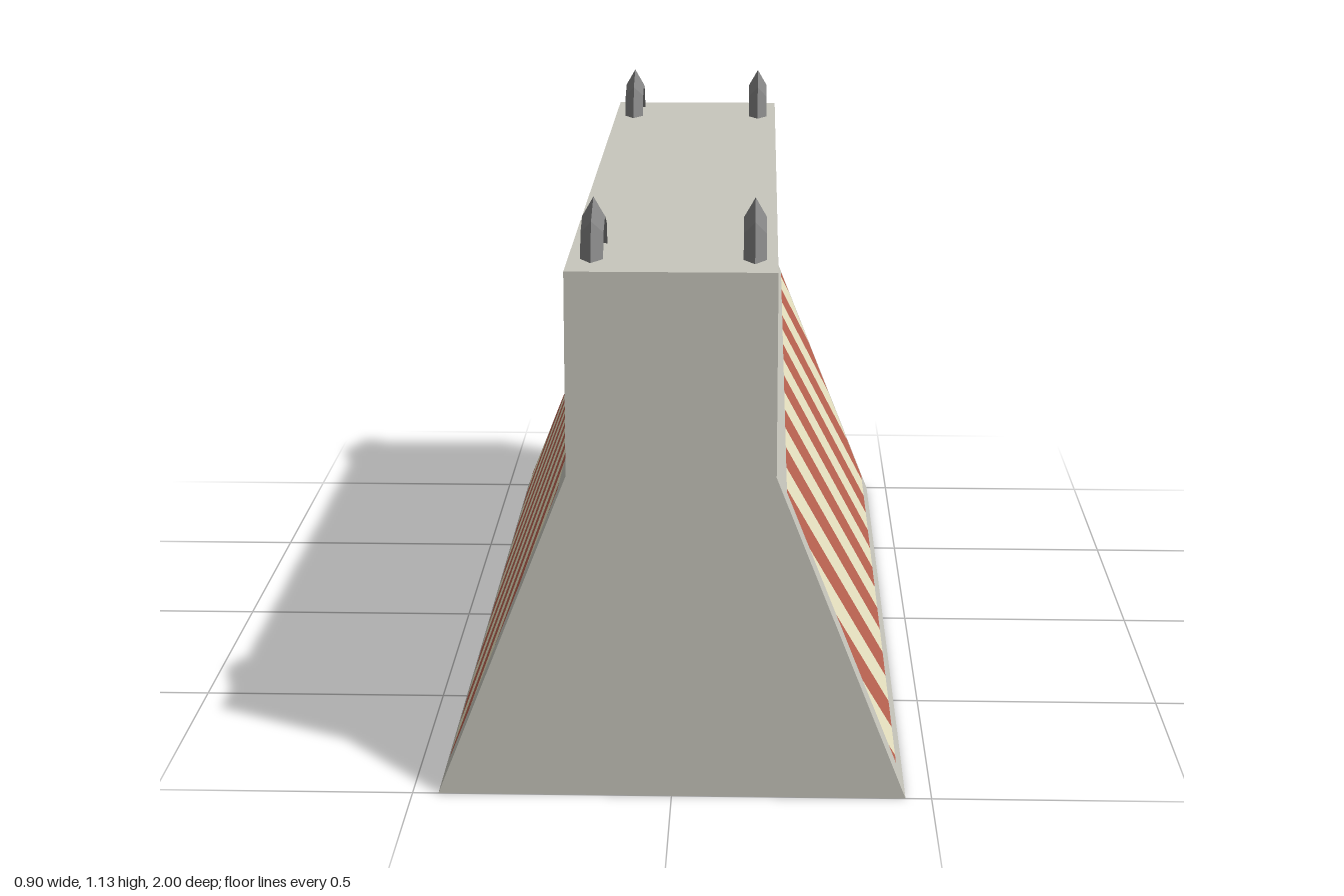
import * as THREE from 'three';
import { mergeGeometries } from 'three/addons/utils/BufferGeometryUtils.js';

const BASE = 0.45, NECK = 0.197, NECK_Y = 0.64, TOP_Y = 1.03;

function material(color) {
  return new THREE.MeshStandardMaterial({ color, flatShading: true });
}

// Concrete body: extruded cross-section with ends that lean in slightly
function bodyGeometry() {
  const profile = [[-BASE, 0], [BASE, 0], [NECK, NECK_Y], [NECK, TOP_Y], [-NECK, TOP_Y], [-NECK, NECK_Y]];
  const shape = new THREE.Shape(profile.map(([x, y]) => new THREE.Vector2(x, y)));
  const geo = new THREE.ExtrudeGeometry(shape, { depth: 2, bevelEnabled: false });
  geo.translate(0, 0, -1);
  const p = geo.attributes.position;
  for (let i = 0; i < p.count; i++) p.setZ(i, p.getZ(i) * (1 - 0.01 * p.getY(i) / TOP_Y));
  geo.computeVertexNormals();
  return geo;
}

// Keep the part of a polygon where sign * u <= limit
function clip(points, sign, limit) {
  const out = [];
  points.forEach((a, i) => {
    const b = points[(i + 1) % points.length];
    const da = limit - sign * a.x, db = limit - sign * b.x;
    if (da >= 0) out.push(a);
    if (da * db < 0) out.push(a.clone().lerp(b, da / (da - db)));
  });
  return out;
}

// Alternate diagonal bands laid on the sloping side (u runs along -z)
function bandGeometry(parity) {
  const low = 0.05, high = 0.597, lean = 0.574, width = 0.1395, end = 0.946;
  const bands = [];
  for (let i = -8; i <= 13; i++) {
    if (Math.abs(i % 2) !== parity) continue;
    const u = -0.783 + i * width;
    const corners = [[u + lean, low], [u + lean + width, low], [u + width, high], [u, high]];
    let points = corners.map(([x, y]) => new THREE.Vector2(x, y));
    points = clip(clip(points, 1, end), -1, end);
    if (points.length < 3) continue;
    const geo = new THREE.ShapeGeometry(new THREE.Shape(points));
    const p = geo.attributes.position;
    for (let k = 0; k < p.count; k++) {
      const y = p.getY(k);
      p.setXYZ(k, BASE - (BASE - NECK) * y / NECK_Y + 0.003, y, -p.getX(k));
    }
    geo.computeVertexNormals();
    bands.push(geo);
  }
  return mergeGeometries(bands);
}

export function createModel() {
  const model = new THREE.Group();
  model.name = 'concreteBarrier';
  const add = (parent, name, geo, mat) => {
    const mesh = new THREE.Mesh(geo, mat);
    mesh.name = name;
    parent.add(mesh);
    return mesh;
  };

  add(model, 'body', bodyGeometry(), material(0xc8c7bd));

  // Warning panels, the second turned half a circle
  const red = bandGeometry(0), cream = bandGeometry(1);
  const redPaint = material(0xbd6452), creamPaint = material(0xece6c4);
  ['leftWarningPanel', 'rightWarningPanel'].forEach((name, i) => {
    const panel = new THREE.Group();
    panel.name = name;
    add(panel, 'redStripes', red, redPaint);
    add(panel, 'creamStripes', cream, creamPaint);
    panel.rotation.y = i * Math.PI;
    model.add(panel);
  });

  // Lifting loops: triangular bar bent into a half ring
  const loop = new THREE.TorusGeometry(0.085, 0.025, 3, 4, Math.PI);
  loop.rotateY(Math.PI / 2);
  const steel = material(0x858585);
  for (const x of [-0.152, 0.154]) {
    for (const z of [-0.847, 0.81]) {
      const name = (z > 0 ? 'front' : 'back') + (x > 0 ? 'Left' : 'Right') + 'LiftingLoop';
      add(model, name, loop, steel).position.set(x, TOP_Y - 0.005, z);
    }
  }
  return model;
}
